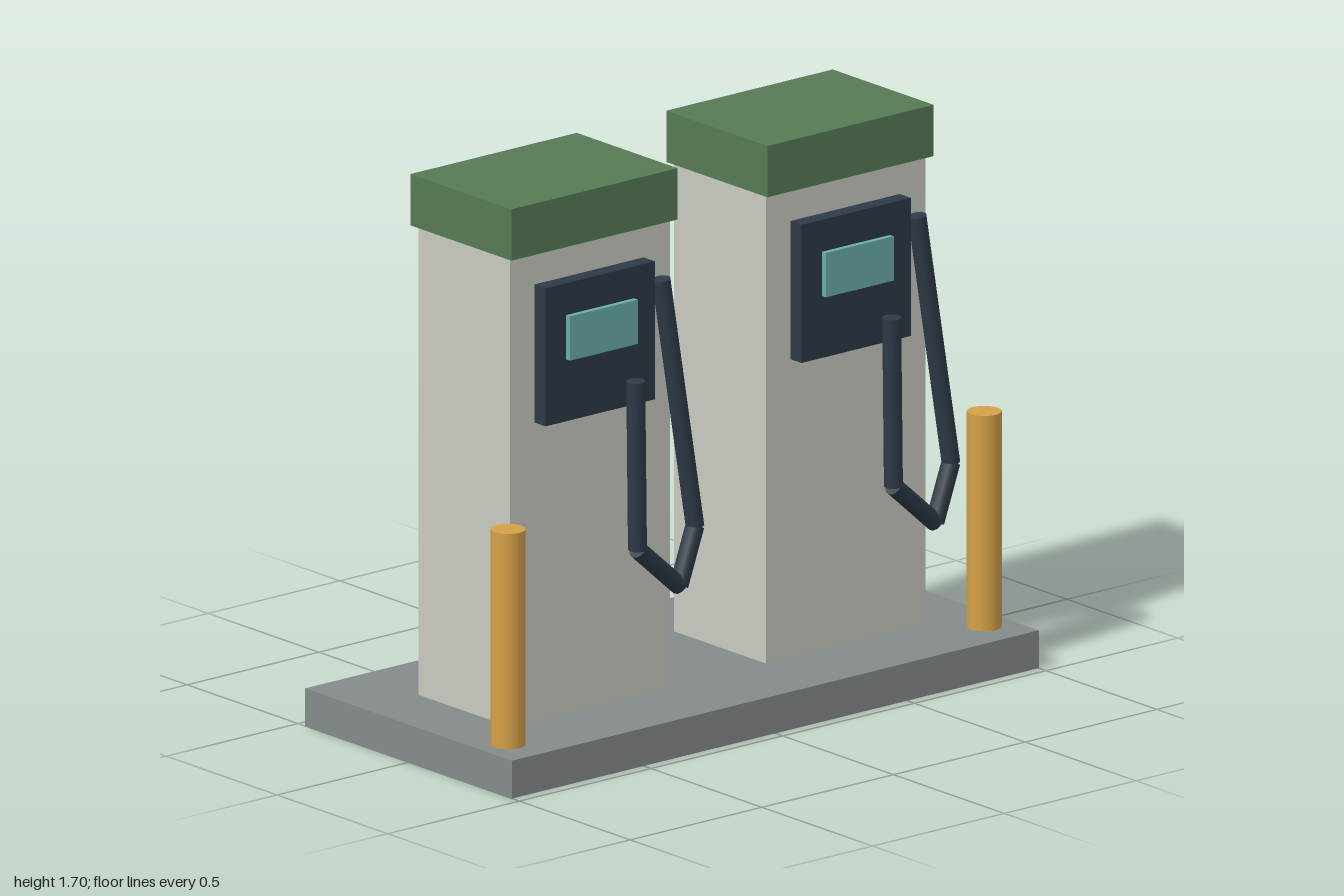
import * as THREE from 'three';

const material = (name, color) => {
  const m = new THREE.MeshStandardMaterial({ color });
  m.name = name;
  return m;
};

export function createModel() {
  const concrete = material('concrete grey', 0x858b8b);
  const cream = material('cabinet cream', 0xc9cac0);
  const green = material('cap green', 0x567a55);
  const navy = material('dark navy', 0x2d3a47);
  const teal = material('screen teal', 0x6aaeaa);
  const amber = material('bollard amber', 0xd4a048);

  const model = new THREE.Group();
  model.name = 'fuelPumpIsland';

  // Box given by its centre in x and z, and its bottom and top
  const box = (parent, name, mat, w, d, y0, y1, x = 0, z = 0) => {
    const mesh = new THREE.Mesh(new THREE.BoxGeometry(w, y1 - y0, d), mat);
    mesh.name = name;
    mesh.position.set(x, (y0 + y1) / 2, z);
    parent.add(mesh);
  };

  // Straight cylinder between two points
  const rod = (parent, name, mat, a, b, r, sides) => {
    const dir = b.clone().sub(a);
    const mesh = new THREE.Mesh(new THREE.CylinderGeometry(r, r, dir.length(), sides), mat);
    mesh.name = name;
    mesh.position.copy(a).add(b).multiplyScalar(0.5);
    mesh.quaternion.setFromUnitVectors(new THREE.Vector3(0, 1, 0), dir.normalize());
    parent.add(mesh);
  };

  box(model, 'islandBase', concrete, 2, 0.934, 0, 0.115);

  // Hose corners, from the cabinet side round to the nozzle end
  const hosePoints = [
    [0.236, 1.38, 0.248], [0.346, 0.613, 0.27], [0.281, 0.445, 0.275],
    [0.111, 0.592, 0.29], [0.096, 1.11, 0.3],
  ].map((p) => new THREE.Vector3(...p));

  // Two identical pumps
  for (const x of [-0.486, 0.486]) {
    const pump = new THREE.Group();
    pump.name = x < 0 ? 'rightPump' : 'leftPump';
    pump.position.x = x;
    box(pump, 'cabinet', cream, 0.607, 0.414, 0.115, 1.54);
    box(pump, 'cap', green, 0.632, 0.456, 1.54, 1.696);
    box(pump, 'displayPanel', navy, 0.415, 0.06, 1.022, 1.442, -0.003, 0.227);
    box(pump, 'screen', teal, 0.258, 0.03, 1.21, 1.345, -0.003, 0.259);
    const hose = new THREE.Group();
    hose.name = 'hose';
    for (let i = 0; i < hosePoints.length - 1; i++) {
      rod(hose, 'hoseSegment', navy, hosePoints[i], hosePoints[i + 1], 0.028, 12);
    }
    pump.add(hose);
    model.add(pump);
  }

  // Bollards at the two front corners
  for (const x of [-0.904, 0.904]) {
    rod(model, x < 0 ? 'rightBollard' : 'leftBollard', amber,
      new THREE.Vector3(x, 0.115, 0.335), new THREE.Vector3(x, 0.77, 0.335), 0.051, 20);
  }
  return model;
}
